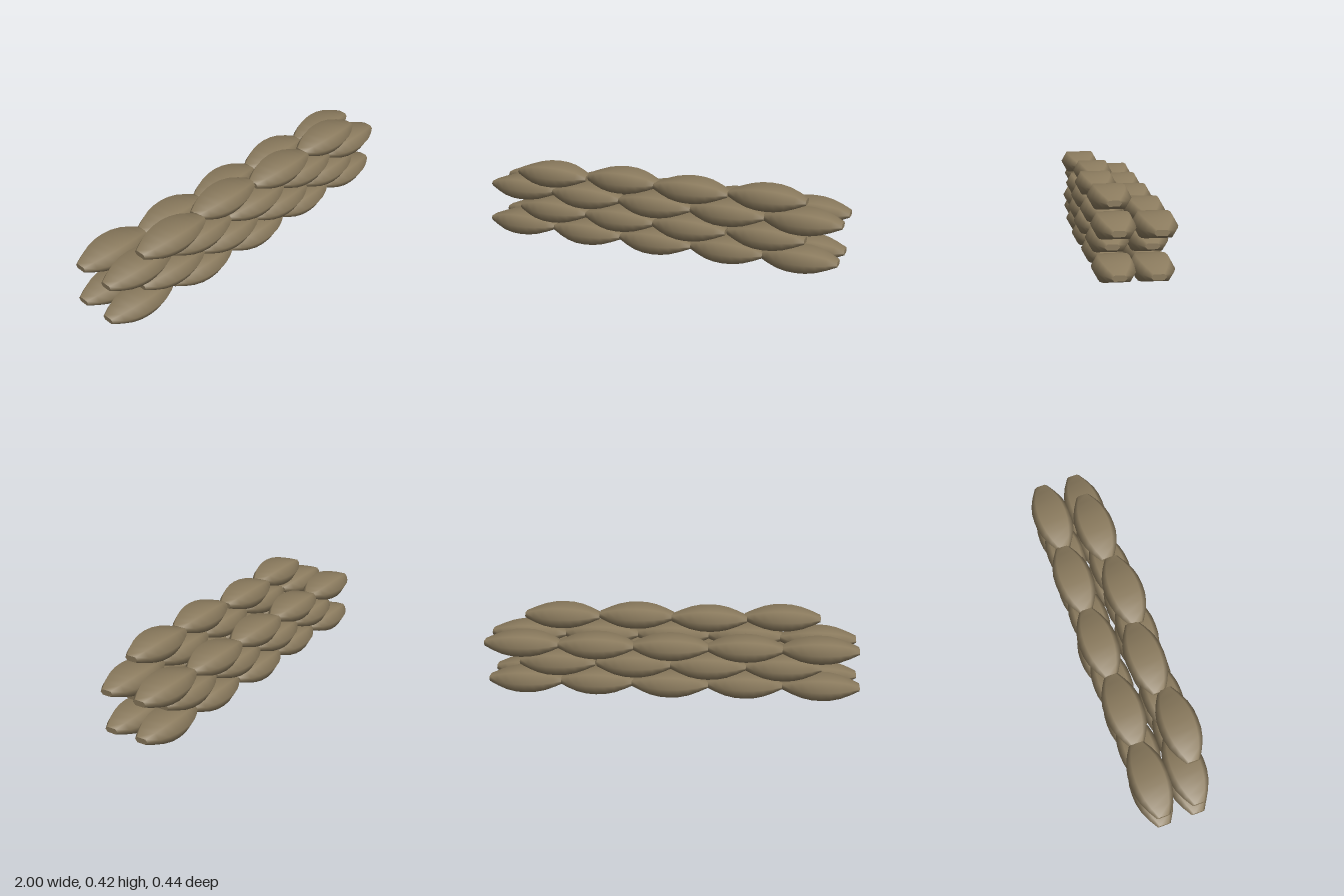
import * as THREE from 'three';
import { mergeGeometries } from 'three/addons/utils/BufferGeometryUtils.js';

// half length, half height and half width of one sandbag
const HALF_LENGTH = 0.204;
// sections from one end to the middle: [half height, half width, half width of the flat top]
const SECTIONS = [
  [0.014, 0.036, 0.024],
  [0.031, 0.067, 0.046],
  [0.045, 0.090, 0.063],
  [0.053, 0.102, 0.072],
  [0.055, 0.105, 0.075],
];

// six corners of a section, counter-clockwise about +x
function ring(x, [h, w, f]) {
  return [[h, -f], [h, f], [0, w], [-h, f], [-h, -f], [0, -w]].map(([y, z]) => [x, y, z]);
}

function geometry(points, index) {
  const g = new THREE.BufferGeometry();
  g.setAttribute('position', new THREE.Float32BufferAttribute(points.flat(), 3));
  g.setIndex(index);
  g.computeVertexNormals();
  return g;
}

function sandbagGeometry() {
  const profile = [...SECTIONS, ...SECTIONS.slice(0, -1).reverse()];
  const last = profile.length - 1;
  const rings = profile.map((s, i) => ring(HALF_LENGTH * (2 * i / last - 1), s));

  // smooth skin
  const index = [];
  for (let i = 0; i < last; i++) {
    for (let j = 0; j < 6; j++) {
      const a = i * 6 + j, b = i * 6 + (j + 1) % 6;
      index.push(a, b, b + 6, a, b + 6, a + 6);
    }
  }
  const skin = geometry(rings.flat(), index);

  // flat sewn ends
  const fan = [0, 1, 2, 0, 2, 3, 0, 3, 4, 0, 4, 5];
  const rightEnd = geometry(rings[0], [...fan].reverse());
  const leftEnd = geometry(rings[last], fan);
  return mergeGeometries([skin, rightEnd, leftEnd]);
}

// courses from the ground up: x of each bag, z of each bag in front and back
const COURSES = [
  { y: 0.056, x: [-0.796, -0.392, 0.005, 0.400, 0.782],
    front: [0.085, 0.105, 0.108, 0.095, 0.086], back: [-0.105, -0.100, -0.113, -0.095, -0.093] },
  { y: 0.159, x: [-0.592, -0.197, 0.195, 0.610],
    front: [0.105, 0.110, 0.113, 0.096], back: [-0.100, -0.104, -0.098, -0.092] },
  { y: 0.262, x: [-0.784, -0.395, 0.002, 0.398, 0.796],
    front: [0.080, 0.105, 0.110, 0.100, 0.090], back: [-0.113, -0.110, -0.111, -0.113, -0.103] },
  { y: 0.364, x: [-0.592, -0.195, 0.202, 0.608],
    front: [0.115, 0.080, 0.107, 0.087], back: [] },
];

export function createModel() {
  const model = new THREE.Group();
  model.name = 'sandbagWall';
  const burlap = new THREE.MeshStandardMaterial({ color: 0x8b7b5e });
  burlap.name = 'burlap';
  const bag = sandbagGeometry();

  COURSES.forEach((course, level) => {
    const row = new THREE.Group();
    row.name = `course${level + 1}`;
    for (const side of ['front', 'back']) {
      course[side].forEach((z, i) => {
        const mesh = new THREE.Mesh(bag, burlap);
        mesh.name = `${side}Sandbag${i + 1}`;
        mesh.position.set(course.x[i], course.y, z);
        row.add(mesh);
      });
    }
    model.add(row);
  });
  return model;
}
